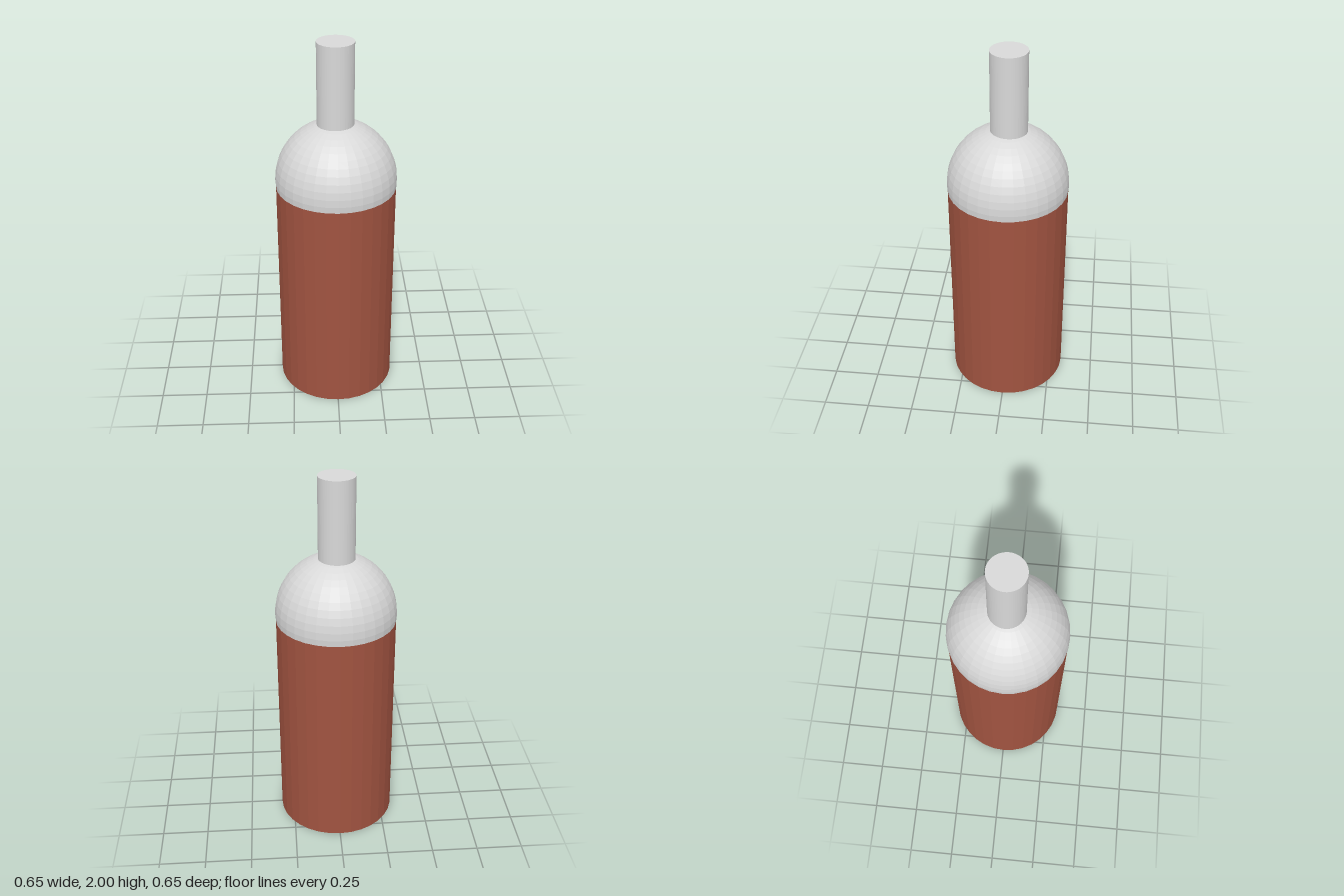
import * as THREE from 'three';

export function createModel() {
  const model = new THREE.Group();
  const clay = new THREE.MeshStandardMaterial({ color: 0xa05340, flatShading: true });
  clay.name = 'clay red';
  const grey = new THREE.MeshStandardMaterial({ color: 0xd8d8d8, flatShading: true });
  grey.name = 'light grey';

  const add = (name, geometry, material, x, y, z) => {
    const mesh = new THREE.Mesh(geometry, material);
    mesh.name = name;
    mesh.position.set(x, y, z);
    model.add(mesh);
  };

  // Faceted bottle body, standing on the ground
  const bodyHeight = 1.237;
  add('body', new THREE.CylinderGeometry(0.32, 0.32, bodyHeight, 32), clay, 0, bodyHeight / 2, 0);

  // Faceted dome shoulder, its lower edge sunk just inside the body
  const dome = new THREE.SphereGeometry(0.323, 32, 16, 0, Math.PI * 2, 0, Math.PI * 0.625);
  add('shoulder', dome, grey, 0, 1.253, 0);

  // Slender neck, slightly off centre, rooted in the dome
  const neckBase = 1.5;
  const neckHeight = 2 - neckBase;
  add('neck', new THREE.CylinderGeometry(0.097, 0.097, neckHeight, 64), grey,
    -0.003, neckBase + neckHeight / 2, -0.005);

  return model;
}
